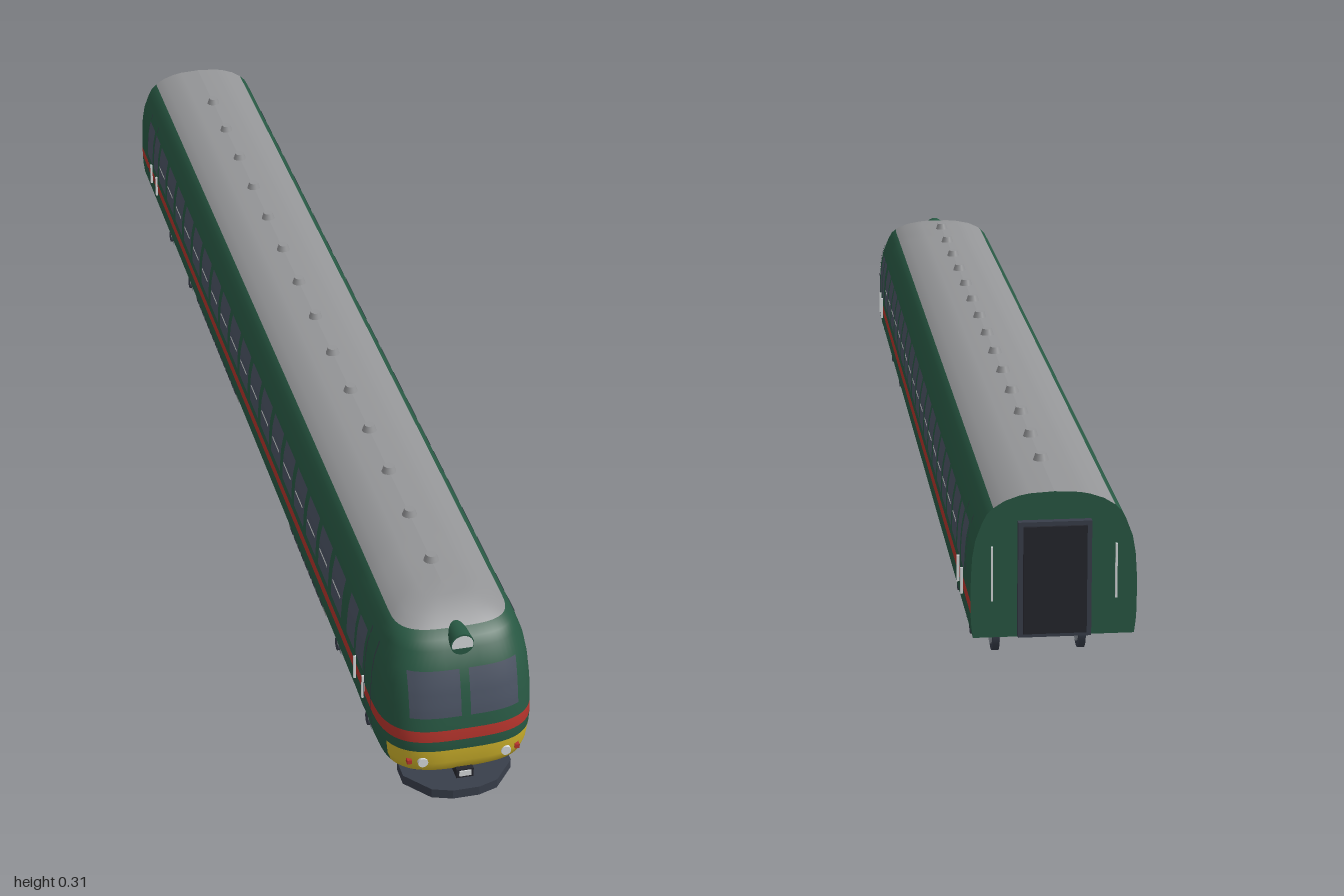
import * as THREE from 'three';

const mat = (name, color, double) => {
  const m = new THREE.MeshStandardMaterial({ color });
  m.name = name;
  if (double) m.side = THREE.DoubleSide;
  return m;
};

// Hull as stacked plan outlines: height, half width, nose tip z, nose length
const PROFILE = [
  [0.052, 0.06, 0.95, 0.08], [0.06, 0.095, 0.972, 0.1], [0.07, 0.108, 0.983, 0.11],
  [0.085, 0.114, 0.988, 0.12], [0.109, 0.117, 0.99, 0.12], [0.126, 0.118, 0.99, 0.12],
  [0.144, 0.118, 0.988, 0.12], [0.18, 0.1175, 0.982, 0.12], [0.21, 0.1155, 0.974, 0.12],
  [0.235, 0.111, 0.965, 0.115], [0.26, 0.1015, 0.95, 0.1], [0.272, 0.095, 0.94, 0.085],
  [0.281, 0.086, 0.925, 0.07], [0.291, 0.07, 0.905, 0.06], [0.298, 0.05, 0.885, 0.06],
  [0.301, 0.035, 0.87, 0.05], [0.303, 0, 0.84, 0.05],
];
const REAR = -0.985, E = 0.6;

function sliceAt(y) {
  let i = 0;
  while (i < PROFILE.length - 2 && y > PROFILE[i + 1][0]) i++;
  const a = PROFILE[i], b = PROFILE[i + 1];
  const t = THREE.MathUtils.clamp((y - a[0]) / (b[0] - a[0]), 0, 1);
  return a.map((v, k) => v + (b[k] - v) * t);
}
const noseZ = (x, y) => {
  const [, w, n, l] = sliceAt(y);
  return n - l + l * Math.pow(Math.max(0, 1 - Math.pow(Math.abs(x) / w, 2 / E)), E / 2);
};

// Outline columns of one half: straight side fractions, then nose angles
const SIDE = [0, 0.25, 0.5, 0.75, 0.94, 0.96, 0.98];
const STEPS = 16;
const HALF = SIDE.length + STEPS;
function outline(j, w, n, l) {
  const k = Math.min(j, 2 * HALF - j), s = j > HALF ? -1 : 1;
  if (k < SIDE.length) return [s * w, REAR + (n - l - REAR) * SIDE[k]];
  const t = ((k - SIDE.length) / STEPS) * Math.PI / 2;
  return [s * w * Math.pow(Math.max(0, Math.cos(t)), E), n - l + l * Math.pow(Math.sin(t), E)];
}

export function createModel() {
  const green = mat('green paint', 0x285843), red = mat('red paint', 0xb5342c);
  const yellow = mat('yellow paint', 0xd0b42c), grey = mat('roof grey', 0x949597);
  const glass = mat('window glass', 0x4a5262, true), slate = mat('dark slate', 0x383e4a);
  const black = mat('gangway black', 0x25262d), pale = mat('pale fittings', 0xd6dadb, true);
  const steel = mat('steel', 0x8b929b);

  const model = new THREE.Group();
  model.name = 'railcar';
  const add = (name, geo, m, x = 0, y = 0, z = 0, parent = model) => {
    const mesh = new THREE.Mesh(geo, m);
    mesh.name = name;
    mesh.position.set(x, y, z);
    parent.add(mesh);
    return mesh;
  };
  const box = (name, m, w, h, d, x, y, z, parent) =>
    add(name, new THREE.BoxGeometry(w, h, d), m, x, y, z, parent);

  // Hull shell with colour bands, and the floor under it
  const cols = 2 * HALF + 1, rows = PROFILE.length, pos = [];
  for (const row of PROFILE)
    for (let j = 0; j < cols; j++) {
      const z = outline(j, 0.117, 0.99, 0.12)[1];
      const low = 0.09 - 0.038 * THREE.MathUtils.smoothstep(z, 0.82, 0.89);
      let y = row[0];
      if (y < 0.109) y = low + (0.109 - low) * (y - 0.052) / 0.057;
      const [, w, n, l] = sliceAt(y);
      const p = outline(j, w, n, l);
      pos.push(p[0], y, p[1]);
    }
  const bands = [[], [], [], []];
  for (let i = 0; i < rows - 1; i++)
    for (let j = 0; j < cols - 1; j++) {
      const y = PROFILE[i][0], k = Math.min(j, cols - 2 - j);
      let b = 0;
      if (y >= 0.281) b = 3;
      else if (y === 0.126) b = 1;
      else if (y < 0.109 && k >= SIDE.length + 5) b = 2;
      const a = i * cols + j, c = a + cols;
      bands[b].push(a, c, a + 1, c, c + 1, a + 1);
    }
  const hull = new THREE.BufferGeometry();
  hull.setAttribute('position', new THREE.Float32BufferAttribute(pos, 3));
  hull.setIndex(bands.flat());
  let start = 0;
  bands.forEach((b, i) => { hull.addGroup(start, b.length, i); start += b.length; });
  hull.computeVertexNormals();
  add('body shell', hull, [green, red, yellow, grey]);

  const floorPart = (name, m, from, to) => {
    const g = new THREE.BufferGeometry(), idx = [];
    g.setAttribute('position', new THREE.Float32BufferAttribute(pos.slice(0, cols * 3), 3));
    for (let j = from; j < to; j++) {
      const o = cols - 1 - j;
      idx.push(j, j + 1, o, j + 1, o - 1, o);
    }
    g.setIndex(idx);
    g.computeVertexNormals();
    add(name, g, m);
  };
  floorPart('floor', grey, 0, SIDE.length - 2);
  floorPart('nose underside', green, SIDE.length - 2, HALF);

  // Flat rear wall
  const edge = [[0.09, sliceAt(0.09)[1]], ...PROFILE.filter(p => p[0] > 0.1)];
  const right = edge.map(p => new THREE.Vector2(p[1], p[0]));
  const left = right.slice(0, -1).reverse().map(p => new THREE.Vector2(-p.x, p.y));
  add('rear wall', new THREE.ShapeGeometry(new THREE.Shape([...right, ...left])), green, 0, 0, REAR)
    .rotation.y = Math.PI;

  // Thin panels that follow the hull
  const patch = (name, m, f, nu = 1, nv = 6) => {
    const g = new THREE.PlaneGeometry(1, 1, nu, nv), p = g.attributes.position;
    for (let i = 0; i < p.count; i++) p.setXYZ(i, ...f(p.getX(i) + 0.5, p.getY(i) + 0.5));
    g.computeVertexNormals();
    add(name, g, m);
  };
  const sidePatch = (name, m, s, z, d, y0, y1, off = 0.002) => patch(name, m, (u, v) => {
    const y = y0 + (y1 - y0) * v;
    return [s * (sliceAt(y)[1] + off), y, z - s * (u - 0.5) * d];
  });

  for (const s of [-1, 1]) {
    patch('windscreen', glass, (u, v) => {
      const x = s * 0.0445 + (u - 0.5) * 0.075, y = 0.167 + 0.07 * v;
      return [x, y, noseZ(x, y) + 0.003];
    }, 8, 8);
    // Passenger windows with a pale sash bar
    for (let i = 0; i < 18; i++) {
      const z = 0.68 - i * 0.0845;
      sidePatch('side window', glass, s, z, 0.066, 0.165, 0.237);
      sidePatch('sash bar', pale, s, z, 0.05, 0.196, 0.2, 0.003);
    }
    // Cab and rear vestibule windows, doors and handrails
    for (const [z, d] of [[0.825, 0.042], [0.77, 0.045], [-0.825, 0.04], [-0.885, 0.05]])
      sidePatch('vestibule window', glass, s, z, d, 0.165, 0.237);
    for (const z of [0.853, 0.892, -0.852, -0.915])
      sidePatch('door seam', slate, s, z, 0.003, 0.095, 0.25, 0.001);
    for (const z of [0.85, 0.8, -0.82, -0.875])
      box('side handrail', pale, 0.004, 0.04, 0.003, s * 0.12, 0.138, z);
    box('rear handrail', pale, 0.003, 0.08, 0.004, s * 0.088, 0.185, REAR - 0.003);

    // Nose lamps
    const lamp = new THREE.CylinderGeometry(0.0075, 0.0075, 0.008, 16).rotateX(Math.PI / 2);
    add('marker lamp', lamp, pale, s * 0.063, 0.09, noseZ(0.063, 0.09));
    box('tail lamp', red, 0.007, 0.007, 0.012, s * 0.082, 0.09, noseZ(0.082, 0.09));
  }

  // Rear gangway
  box('gangway frame', slate, 0.104, 0.17, 0.012, 0, 0.177, -0.99);
  box('gangway door', black, 0.09, 0.158, 0.006, 0, 0.177, -0.997);

  // Roof headlight
  add('headlight housing', new THREE.CylinderGeometry(0.0175, 0.014, 0.055, 24).rotateX(Math.PI / 2),
    green, 0, 0.271, 0.928);
  const lens = new THREE.Shape();
  lens.absarc(0, 0, 0.016, -0.35, Math.PI + 0.35, false);
  add('headlight lens', new THREE.ShapeGeometry(lens, 20), pale, 0, 0.271, 0.957);

  // Roof vents
  for (let i = 0; i < 14; i++)
    add('roof vent', new THREE.CylinderGeometry(0.008, 0.012, 0.012, 16), grey, 0, 0.307, 0.783 - i * 0.124);

  // Coupler and plough
  box('coupler', black, 0.026, 0.015, 0.03, 0, 0.063, 0.976);
  box('coupler face', pale, 0.018, 0.009, 0.004, 0, 0.064, 0.991);
  const plough = new THREE.Shape([[-0.083, 0.915], [0.083, 0.915], [0.083, 0.95], [0.05, 0.99],
    [0.02, 1], [-0.02, 1], [-0.05, 0.99], [-0.083, 0.95]].map(p => new THREE.Vector2(...p)));
  add('plough', new THREE.ExtrudeGeometry(plough, { depth: 0.015, bevelEnabled: false })
    .rotateX(Math.PI / 2), slate, 0, 0.041, 0);
  box('plough bracket', slate, 0.13, 0.022, 0.03, 0, 0.048, 0.925);

  // Underfloor equipment with louvred sides
  for (const [front, back, low] of [[0.535, 0.27, 0.04], [0.22, -0.09, 0.05], [-0.135, -0.53, 0.04]]) {
    const len = front - back, mid = (front + back) / 2, h = 0.091 - low;
    box('equipment box', grey, 0.2, h, len, 0, low + h / 2, mid);
    const n = Math.round((len - 0.03) / 0.025), pitch = (len - 0.03) / n;
    for (const s of [-1, 1])
      for (let i = 0; i < n; i++)
        box('louvre', slate, 0.004, 0.076 - low, pitch * 0.68, s * 0.1,
          low + 0.006 + (0.076 - low) / 2, back + 0.015 + pitch * (i + 0.5));
  }

  // Bogies
  const disc = (r, w) => new THREE.CylinderGeometry(r, r, w, 28).rotateZ(Math.PI / 2);
  for (const z of [0.7025, -0.695]) {
    const bogie = new THREE.Group();
    bogie.name = 'bogie';
    bogie.position.z = z;
    model.add(bogie);
    box('bolster', slate, 0.17, 0.03, 0.06, 0, 0.062, 0, bogie);
    box('centre beam', slate, 0.04, 0.02, 0.17, 0, 0.058, 0, bogie);
    add('pivot', new THREE.CylinderGeometry(0.03, 0.03, 0.03, 20), slate, 0, 0.08, 0, bogie);
    for (const a of [-0.0975, 0.0975]) {
      add('axle', disc(0.008, 0.17), steel, 0, 0.033, a, bogie);
      for (const s of [-1, 1]) {
        add('wheel', disc(0.033, 0.01), slate, s * 0.064, 0.033, a, bogie);
        add('wheel hub', disc(0.023, 0.014), steel, s * 0.064, 0.033, a, bogie);
        box('axle box', steel, 0.02, 0.026, 0.028, s * 0.086, 0.038, a, bogie);
        add('axle cap', disc(0.01, 0.006), slate, s * 0.097, 0.036, a, bogie);
        box('axle spring', steel, 0.014, 0.012, 0.045, s * 0.086, 0.055, a, bogie);
      }
    }
    for (const s of [-1, 1]) {
      box('side frame', steel, 0.012, 0.012, 0.17, s * 0.086, 0.052, 0, bogie);
      box('spring plank', slate, 0.016, 0.014, 0.06, s * 0.088, 0.042, 0, bogie);
      for (const d of [-0.02, 0.02])
        add('coil spring', new THREE.CylinderGeometry(0.009, 0.009, 0.024, 12), steel, s * 0.088, 0.06, d, bogie);
    }
  }
  return model;
}
